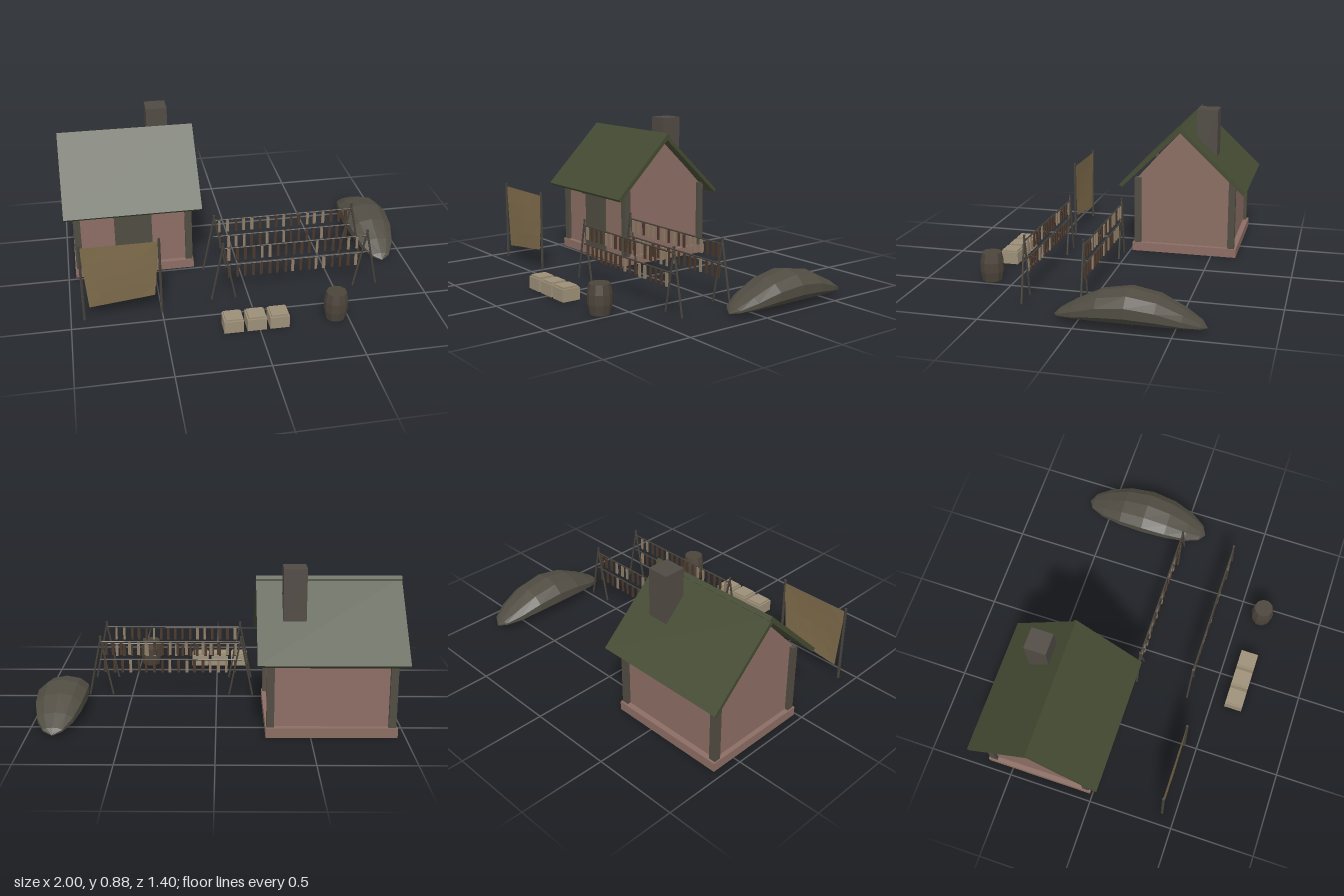
import * as THREE from 'three';

const mat = (name, color, opts = {}) => {
  const m = new THREE.MeshStandardMaterial({ color, flatShading: true, ...opts });
  m.name = name;
  return m;
};

export function createModel() {
  const root = new THREE.Group();
  const M = {
    wall: mat('faded red wall', 0x8b6d63),
    roof: mat('moss roof', 0x444a32),
    timber: mat('weathered timber', 0x504c42),
    stone: mat('chimney stone', 0x504a43),
    pole: mat('dark pole', 0x46413a),
    cloth: mat('canvas', 0x7d6a4a, { side: THREE.DoubleSide }),
    crate: mat('crate wood', 0x9c8f77),
    barrel: mat('barrel wood', 0x4c443b),
    fishPale: mat('pale dried fish', 0x8f7c66),
    fishDark: mat('dark dried fish', 0x4a372a),
  };
  let seed = 7;
  const rand = () => (seed = (seed * 16807) % 2147483647) / 2147483647;

  const add = (parent, name, geo, material) => {
    const mesh = new THREE.Mesh(geo, material);
    mesh.name = name;
    parent.add(mesh);
    return mesh;
  };
  const group = (name) => {
    const g = new THREE.Group();
    g.name = name;
    root.add(g);
    return g;
  };
  // Box given by its limits on each axis
  const box = (parent, name, material, [x0, x1], [y0, y1], [z0, z1]) => {
    const m = add(parent, name, new THREE.BoxGeometry(x1 - x0, y1 - y0, z1 - z0), material);
    m.position.set((x0 + x1) / 2, (y0 + y1) / 2, (z0 + z1) / 2);
    return m;
  };
  // Outline of [z, y] points, extruded along x
  const prism = (parent, name, material, pts, x0, x1) => {
    const shape = new THREE.Shape(pts.map(([z, y]) => new THREE.Vector2(-z, y)));
    const geo = new THREE.ExtrudeGeometry(shape, { depth: x1 - x0, bevelEnabled: false });
    geo.rotateY(Math.PI / 2).translate(x0, 0, 0);
    return add(parent, name, geo, material);
  };
  // Round pole between two points
  const pole = (parent, name, a, b, r) => {
    const p = new THREE.Vector3(...a), q = new THREE.Vector3(...b);
    const m = add(parent, name, new THREE.CylinderGeometry(r, r, p.distanceTo(q), 6), M.pole);
    m.position.copy(p).add(q).multiplyScalar(0.5);
    m.quaternion.setFromUnitVectors(new THREE.Vector3(0, 1, 0), q.sub(p).normalize());
    return m;
  };

  // House
  const house = group('house');
  box(house, 'plinth', M.wall, [-0.957, -0.262], [0, 0.053], [-0.648, -0.014]);
  prism(house, 'walls', M.wall,
    [[-0.043, 0.03], [-0.616, 0.03], [-0.616, 0.46], [-0.315, 0.762], [-0.043, 0.465]], -0.93, -0.287);
  for (const x of [-0.93, -0.287])
    for (const z of [-0.043, -0.616])
      box(house, 'cornerPost', M.timber, [x - 0.02, x + 0.02], [0.04, 0.46], [z - 0.02, z + 0.02]);
  box(house, 'door', M.timber, [-0.716, -0.5], [0.05, 0.39], [-0.05, -0.032]);
  box(house, 'doorLintel', M.timber, [-0.743, -0.474], [0.385, 0.415], [-0.05, -0.017]);
  prism(house, 'frontRoof', M.roof,
    [[0.061, 0.427], [-0.312, 0.8], [-0.33, 0.782], [0.044, 0.411]], -1, -0.215);
  prism(house, 'backRoof', M.roof,
    [[-0.305, 0.79], [-0.703, 0.413], [-0.688, 0.398], [-0.29, 0.774]], -1, -0.215);
  box(house, 'chimney', M.stone, [-0.476, -0.353], [0.5, 0.878], [-0.509, -0.384]);

  // Canvas stretched between two posts
  const screen = group('canvasScreen');
  for (const x of [-0.927, -0.502]) pole(screen, 'screenPost', [x, 0, 0.423], [x, 0.47, 0.423], 0.008);
  const cloth = new THREE.PlaneGeometry(1, 1, 4, 4);
  const cp = cloth.attributes.position;
  for (let i = 0; i < cp.count; i++) {
    const u = cp.getX(i) + 0.5, v = 0.5 - cp.getY(i);
    const left = -0.925 + 0.03 * v, right = -0.502 - 0.033 * v;
    const bottom = 0.075 + 0.04 * u;
    cp.setXYZ(i, left + (right - left) * u, 0.45 + (bottom - 0.45) * v,
      0.42 + 0.006 * Math.sin(Math.PI * v) * Math.sin(Math.PI * u));
  }
  cloth.computeVertexNormals();
  add(screen, 'canvas', cloth, M.cloth);

  // Fish drying racks
  for (const z of [0.35, 0.027]) {
    const rack = group('dryingRack');
    for (const x of [-0.143, 0.682])
      for (const s of [-1, 1])
        pole(rack, 'rackLeg', [x + s * 0.069, 0, z], [x - s * 0.003, 0.36, z], 0.006);
    for (const y of [0.325, 0.217]) {
      pole(rack, 'rackBar', [-0.15, y, z], [0.688, y, z], 0.0045);
      const spacing = z > 0.1 ? 0.0455 : 0.0475;
      for (let i = 0; i < 17; i++) {
        const x = -0.108 + i * spacing + (rand() - 0.5) * 0.008;
        const w = 0.006 + rand() * 0.003;
        box(rack, 'driedFish', rand() < 0.4 ? M.fishPale : M.fishDark,
          [x - w, x + w], [y - 0.079, y - 0.006], [z - 0.004, z + 0.004]);
      }
    }
  }

  // Crates with inset lids
  for (const x of [-0.142, -0.016, 0.109]) {
    const crate = group('crate');
    box(crate, 'crateBody', M.crate, [x - 0.053, x + 0.053], [0, 0.07], [0.582, 0.688]);
    box(crate, 'crateLid', M.crate, [x - 0.045, x + 0.045], [0.07, 0.08], [0.59, 0.68]);
  }

  // Barrel
  const staves = [[0, 0], [0.055, 0], [0.066, 0.055], [0.066, 0.11], [0.056, 0.163], [0, 0.163]];
  const barrel = add(root, 'barrel',
    new THREE.LatheGeometry(staves.map((p) => new THREE.Vector2(...p)), 10), M.barrel);
  barrel.position.set(0.432, 0, 0.635);

  // Upturned boat: ten-sided sections along z, flat along the bottom
  const heights = [0, 0.03, 0.083, 0.147, 0.175];
  const rings = 9, sides = 10, pos = [], index = [];
  for (let i = 0; i < rings; i++) {
    const a = (i / (rings - 1) - 0.5) * Math.PI;
    const h = heights[4 - Math.abs(i - 4)] + 0.004;
    for (let k = 0; k < sides; k++) {
      const t = (k / sides) * Math.PI * 2;
      pos.push(0.862 + 0.143 * Math.cos(a) * Math.sin(t),
        0.01 + h * (0.5 + 0.5 * Math.cos(t)), -0.26 + 0.395 * Math.sin(a));
    }
  }
  for (let i = 0; i < rings - 1; i++)
    for (let k = 0; k < sides; k++) {
      const a = i * sides + k, b = i * sides + ((k + 1) % sides);
      index.push(a, b + sides, b, a, a + sides, b + sides);
    }
  const hull = new THREE.BufferGeometry();
  hull.setAttribute('position', new THREE.Float32BufferAttribute(pos, 3));
  hull.setIndex(index);
  hull.computeVertexNormals();
  add(root, 'upturnedBoat', hull, M.timber);

  return root;
}
